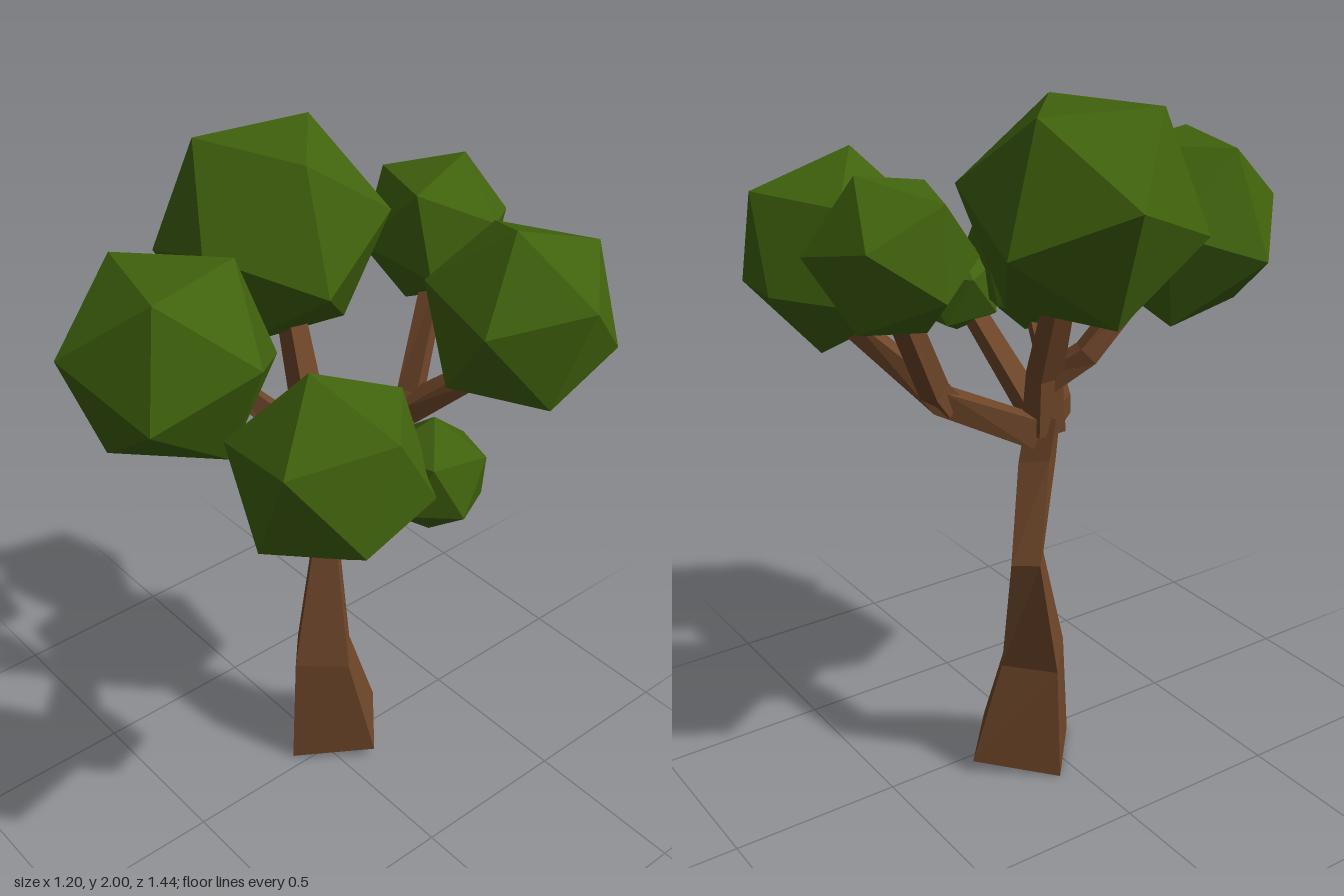
import * as THREE from 'three';

const V = (p) => new THREE.Vector3(...p);
const bark = new THREE.MeshStandardMaterial({ color: 0x6e4629, flatShading: true });
const leaf = new THREE.MeshStandardMaterial({ color: 0x40620d, flatShading: true });

// Closed loft through four-cornered rings, each counterclockwise seen from its tip
function loft(rings) {
  const pos = [];
  const quad = (a, b, c, d) => [a, b, c, a, c, d].forEach((p) => pos.push(p.x, p.y, p.z));
  for (let r = 0; r < rings.length - 1; r++) {
    for (let i = 0; i < 4; i++) {
      const j = (i + 1) % 4;
      quad(rings[r][i], rings[r][j], rings[r + 1][j], rings[r + 1][i]);
    }
  }
  const first = rings[0], last = rings[rings.length - 1];
  quad(first[3], first[2], first[1], first[0]);
  quad(...last);
  const g = new THREE.BufferGeometry();
  g.setAttribute('position', new THREE.Float32BufferAttribute(pos, 3));
  g.computeVertexNormals();
  return g;
}

// Square tapered limb along a bent path
function limb(path, r0, r1) {
  const pts = path.map(V);
  const n = pts.length - 1;
  return loft(pts.map((p, k) => {
    const before = pts[Math.max(k - 1, 0)], after = pts[Math.min(k + 1, n)];
    const t = p.clone().sub(before).normalize().add(after.clone().sub(p).normalize()).normalize();
    const ref = Math.abs(t.y) > 0.9 ? V([1, 0, 0]) : V([0, 1, 0]);
    const u = ref.cross(t).normalize();
    const v = t.clone().cross(u);
    const radius = THREE.MathUtils.lerp(r0, r1, k / n);
    return [0, 1, 2, 3].map((i) => {
      const a = Math.PI / 4 + i * Math.PI / 2;
      return p.clone().addScaledVector(u, radius * Math.cos(a)).addScaledVector(v, radius * Math.sin(a));
    });
  }));
}

// Twenty-sided clump, turned so that one edge runs between directions a and b
function clump(radius, a, b) {
  const p = V(a).normalize(), q = V(b).normalize();
  const mid = p.clone().add(q).normalize();
  const along = p.sub(q).normalize();
  const turn = new THREE.Matrix4().makeBasis(along.clone().cross(mid), along, mid);
  return new THREE.IcosahedronGeometry(radius, 0).applyMatrix4(turn);
}

export function createModel() {
  const tree = new THREE.Group();
  tree.name = 'tree';
  const add = (name, geometry, material) => {
    const mesh = new THREE.Mesh(geometry, material);
    mesh.name = name;
    tree.add(mesh);
    return mesh;
  };

  // Trunk: left, front, right and back corner of each ring
  add('trunk', loft([
    [[-0.24, 0, -0.06], [-0.04, 0, 0.11], [0.13, 0.035, -0.09], [-0.07, 0.035, -0.26]],
    [[-0.195, 0.33, -0.04], [-0.07, 0.35, 0.07], [0.04, 0.35, -0.055], [-0.08, 0.34, -0.16]],
    [[-0.19, 0.7, -0.1], [-0.12, 0.7, -0.04], [-0.07, 0.7, -0.1], [-0.14, 0.7, -0.165]],
    [[-0.12, 0.98, -0.02], [-0.06, 0.95, 0.045], [0.01, 0.98, -0.02], [-0.06, 0.97, -0.085]],
    [[-0.11, 1.1, 0.01], [-0.06, 1.09, 0.06], [0.01, 1.09, 0.01], [-0.05, 1.1, -0.05]],
  ].map((ring) => ring.map(V))), bark);

  // Branches out of the fork: start and end radius, path
  [
    ['frontLeftBranch', 0.055, 0.038, [[-0.02, 1.06, 0.03], [0.09, 1.045, 0.165], [0.38, 1.23, 0.28]]],
    ['leftBranch', 0.052, 0.038, [[-0.02, 1.05, 0.02], [0.08, 1.08, 0.045], [0.42, 1.27, 0.07]]],
    ['backBranch', 0.06, 0.038, [[-0.045, 1.045, -0.02], [0, 1.19, -0.3], [0.21, 1.39, -0.46]]],
    ['backRightTwig', 0.048, 0.04, [[0, 1.17, -0.28], [-0.015, 1.23, -0.33], [-0.1, 1.57, -0.5]]],
    ['rightBranch', 0.064, 0.04, [[-0.055, 1.05, 0.005], [-0.065, 1.22, 0], [-0.2, 1.55, -0.03]]],
    ['frontBranch', 0.048, 0.038, [[-0.06, 1.2, 0.01], [-0.125, 1.28, 0.1], [-0.16, 1.48, 0.28]]],
  ].forEach(([name, r0, r1, path]) => add(name, limb(path, r0, r1), bark));

  // Foliage: centre, radius, two neighbouring corner directions
  [
    ['rightFoliage', [-0.28, 1.74, -0.035], 0.332, [-0.39, 0.795, 0.465], [0.598, 0.78, 0.105]],
    ['frontFoliage', [-0.11, 1.595, 0.43], 0.304, [-0.59, 0.795, 0.14], [0.14, 0.77, -0.59]],
    ['frontLeftFoliage', [0.362, 1.435, 0.29], 0.273, [-0.06, 0.27, 0.03], [0.22, 0.16, -0.035]],
    ['leftFoliage', [0.445, 1.35, 0.025], 0.157, [-0.03, 0.14, -0.01], [0.12, 0.06, -0.08]],
    ['backLeftFoliage', [0.28, 1.57, -0.453], 0.285, [0.01, 0.275, 0.07], [0.24, 0.09, 0]],
    ['backRightFoliage', [-0.13, 1.66, -0.51], 0.226, [0, 0.2, -0.08], [0.2, 0.05, -0.02]],
  ].forEach(([name, centre, radius, a, b]) => {
    add(name, clump(radius, a, b), leaf).position.set(...centre);
  });

  return tree;
}
